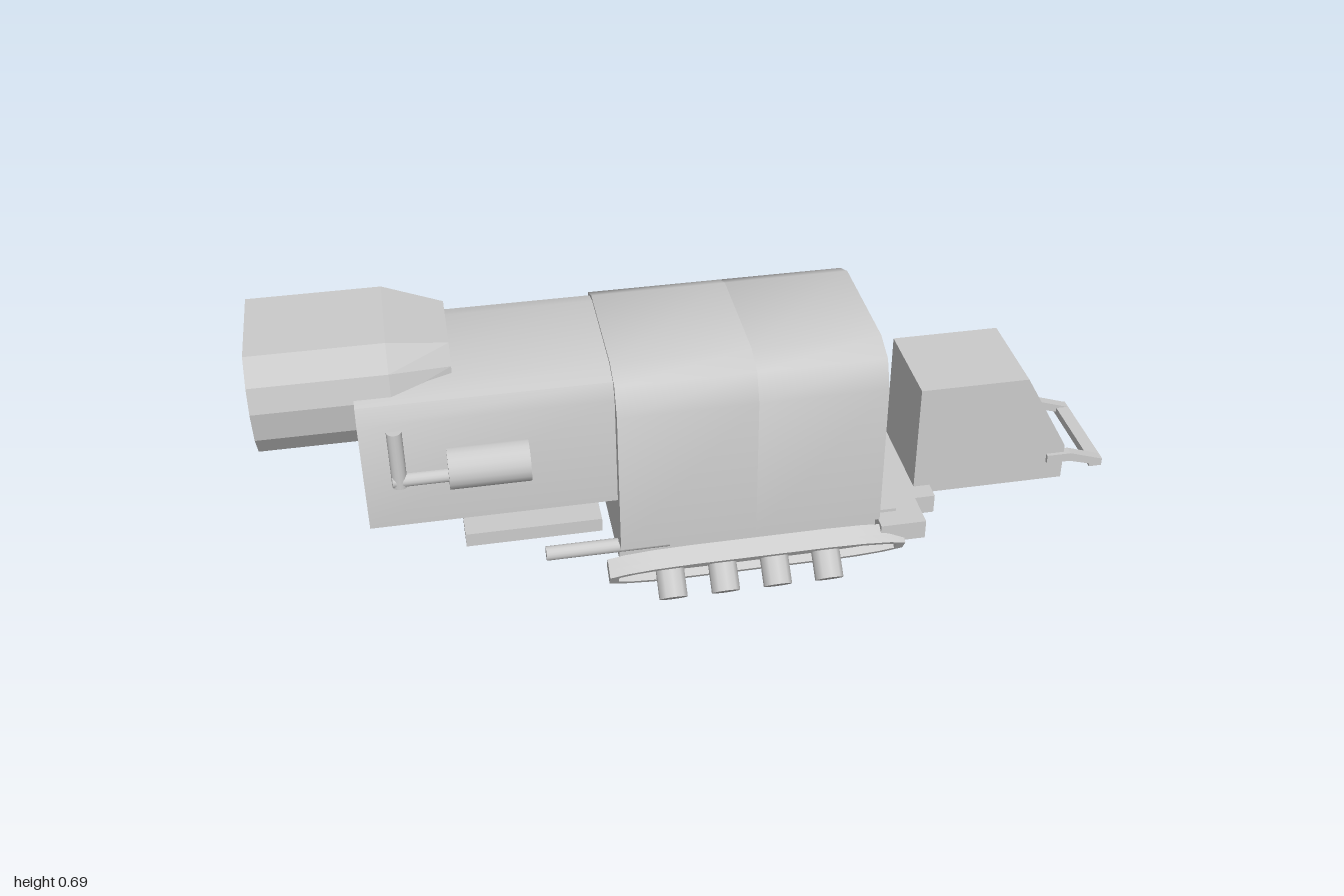
import * as THREE from 'three';
import { toCreasedNormals } from 'three/addons/utils/BufferGeometryUtils.js';
import { ConvexGeometry } from 'three/addons/geometries/ConvexGeometry.js';

const mat = new THREE.MeshStandardMaterial({ color: 0xcccccc });
const MID = -0.008; // centre line of the bodywork in z

function add(parent, name, geo) {
  const mesh = new THREE.Mesh(geo, mat);
  mesh.name = name;
  parent.add(mesh);
  return mesh;
}

// box from its limits
function box(parent, name, x0, x1, y0, y1, z0, z1) {
  const g = new THREE.BoxGeometry(x1 - x0, y1 - y0, z1 - z0);
  g.translate((x0 + x1) / 2, (y0 + y1) / 2, (z0 + z1) / 2);
  return add(parent, name, g);
}

const vec2 = (pts) => pts.map(([a, b]) => new THREE.Vector2(a, b));
// right half of a section, completed by its mirror image
const mirrored = (half) => [...half, ...half.map(([a, b]) => [-a, b]).reverse()];

// section in (z, y) pushed along x
function extrudeX(section, x0, x1, holes = []) {
  const shape = new THREE.Shape(vec2(section));
  for (const h of holes) shape.holes.push(new THREE.Path(vec2(h)));
  const g = new THREE.ExtrudeGeometry(shape, { depth: x1 - x0, bevelEnabled: false });
  g.rotateY(Math.PI / 2).translate(x0, 0, MID);
  return toCreasedNormals(g, 0.8);
}

// straight round bar between two points
function rod(parent, name, a, b, r, sides = 16) {
  const p = new THREE.Vector3(...a), q = new THREE.Vector3(...b);
  const mesh = add(parent, name, new THREE.CylinderGeometry(r, r, p.distanceTo(q), sides));
  mesh.position.copy(p).add(q).multiplyScalar(0.5);
  mesh.quaternion.setFromUnitVectors(new THREE.Vector3(0, 1, 0), q.sub(p).normalize());
  return mesh;
}

// faceted solid through rings given as { x, section } about (y, z)
function faceted(rings) {
  const pts = [];
  for (const { x, section } of rings) for (const [z, y] of section) pts.push(new THREE.Vector3(x, y, z));
  return new ConvexGeometry(pts);
}

// tilted track pod with recessed face and four wheels
function trackPod() {
  const pod = new THREE.Group();
  pod.name = 'trackPod';
  const outline = (k, m) => {
    const q = [[0.355, 0.018], [0.315, 0.034], [0.25, 0.046], [0.16, 0.051]];
    const top = mirrored(q);
    return [...top, ...top.map(([a, b]) => [-a, -b])].map(([a, b]) => [a * k, b * m]);
  };
  const slab = new THREE.Group();
  slab.name = 'trackSlab';
  const rimShape = new THREE.Shape(vec2(outline(1, 1)));
  rimShape.holes.push(new THREE.Path(vec2(outline(0.94, 0.76))));
  const rim = new THREE.ExtrudeGeometry(rimShape, { depth: 0.02, bevelEnabled: false });
  add(slab, 'trackRim', toCreasedNormals(rim.translate(0, 0, -0.02), 0.6));
  const core = new THREE.ExtrudeGeometry(new THREE.Shape(vec2(outline(1, 1))), { depth: 0.027, bevelEnabled: false });
  add(slab, 'trackCore', toCreasedNormals(core.translate(0, 0, -0.047), 0.6));
  slab.rotation.x = 0.57;
  slab.position.set(0, 0.068, 0.2475);
  pod.add(slab);
  for (let i = 0; i < 4; i++) {
    const x = -0.212 + i * 0.125;
    rod(pod, 'wheel', [x, 0.074, 0.24], [x, 0.0265, 0.2875], 0.034, 10);
  }
  return pod;
}

export function createModel() {
  const model = new THREE.Group();
  model.name = 'trackedHauler';

  // main hull with two openings in its end
  const hull = mirrored([[0.236, 0.14], [0.236, 0.51], [0.208, 0.575], [0.148, 0.6]]);
  const upper = mirrored([[0.207, 0.397], [0.207, 0.483], [0.182, 0.545], [0.12, 0.572]]);
  const lower = mirrored([[0.207, 0.165], [0.207, 0.34]]);
  add(model, 'hullBack', extrudeX(hull, -0.22, 0.1));
  add(model, 'hullFront', extrudeX(hull, 0.1, 0.4, [upper, lower]));

  // rear body
  const rear = mirrored([[0.208, 0.265], [0.208, 0.54], [0.19, 0.577], [0.135, 0.594]]);
  add(model, 'rearBody', extrudeX(rear, -0.78, -0.22));

  // big faceted housing on top of the rear
  const big = mirrored([[0.125, 0.445], [0.162, 0.5], [0.175, 0.575], [0.163, 0.635], [0.122, 0.69]]);
  const small = mirrored([[0.08, 0.46], [0.11, 0.5], [0.12, 0.56], [0.116, 0.61], [0.09, 0.655]]);
  add(model, 'rearHousing', faceted([
    { x: -1, section: big }, { x: -0.7, section: big }, { x: -0.565, section: small },
  ])).position.z = -0.013;

  // small faceted pod on the far side
  const pod = mirrored([[0.025, -0.09], [0.052, -0.05], [0.062, 0], [0.052, 0.05], [0.025, 0.09]]);
  const sidePod = add(model, 'sidePod', faceted([
    { x: -0.88, section: pod }, { x: -0.74, section: pod },
    { x: -0.69, section: pod.map(([a, b]) => [a * 0.55, b * 0.6]) },
  ]));
  sidePod.position.set(0, 0.515, -0.19);

  // exhaust: muffler and bent pipe
  rod(model, 'muffler', [-0.595, 0.415, 0.208], [-0.415, 0.415, 0.208], 0.049, 20);
  rod(model, 'exhaustStack', [-0.703, 0.375, 0.2], [-0.703, 0.52, 0.2], 0.017);
  rod(model, 'exhaustPipe', [-0.718, 0.39, 0.2], [-0.59, 0.39, 0.2], 0.016);

  // platform under the rear body
  box(model, 'platform', -0.57, -0.25, 0.13, 0.165, -0.15, 0.135);
  box(model, 'platformPost', -0.57, -0.25, 0.165, 0.265, -0.07, 0.055);
  const strut = box(model, 'platformStrut', -0.06, 0.06, -0.025, 0.025, -0.09, 0.08);
  strut.position.set(-0.375, 0.245, 0);
  strut.rotation.z = -0.7;
  rod(model, 'hangerPin', [-0.597, 0.195, 0], [-0.597, 0.27, 0], 0.02);
  rod(model, 'hangerCollar', [-0.597, 0.225, 0], [-0.597, 0.24, 0], 0.027);

  // chassis, bumper and hitch
  box(model, 'chassis', -0.22, 0.45, 0.085, 0.14, -0.21, 0.195);
  box(model, 'bumper', 0.4, 0.51, 0.083, 0.132, -0.264, 0.247);
  box(model, 'hitch', 0.5, 0.56, 0.083, 0.132, -0.178, 0.155);
  rod(model, 'sideRod', [-0.39, 0.12, 0.183], [-0.1, 0.12, 0.183], 0.017);

  // sloped cab
  const side = [[0.52, 0.11], [0.9, 0.11], [0.9, 0.205], [0.785, 0.412], [0.52, 0.412]];
  const cab = new THREE.ExtrudeGeometry(new THREE.Shape(vec2(side)), { depth: 0.238, bevelEnabled: false });
  add(model, 'cab', cab.translate(0, 0, -0.128));

  // tow handle: two cranked arms and a cross bar
  const arm = [[0.855, 0.162], [0.915, 0.162], [1, 0.137], [1, 0.157], [0.915, 0.185], [0.855, 0.185]];
  for (const z of [0.095, -0.135]) {
    const g = new THREE.ExtrudeGeometry(new THREE.Shape(vec2(arm)), { depth: 0.024, bevelEnabled: false });
    add(model, 'handleArm', g.translate(0, 0, z));
  }
  box(model, 'handleBar', 0.968, 1, 0.138, 0.158, -0.135, 0.119);

  // track pods, the far one turned half round
  for (const turn of [0, Math.PI]) {
    const track = trackPod();
    track.position.x = 0.104;
    track.rotation.y = turn;
    model.add(track);
  }
  return model;
}
